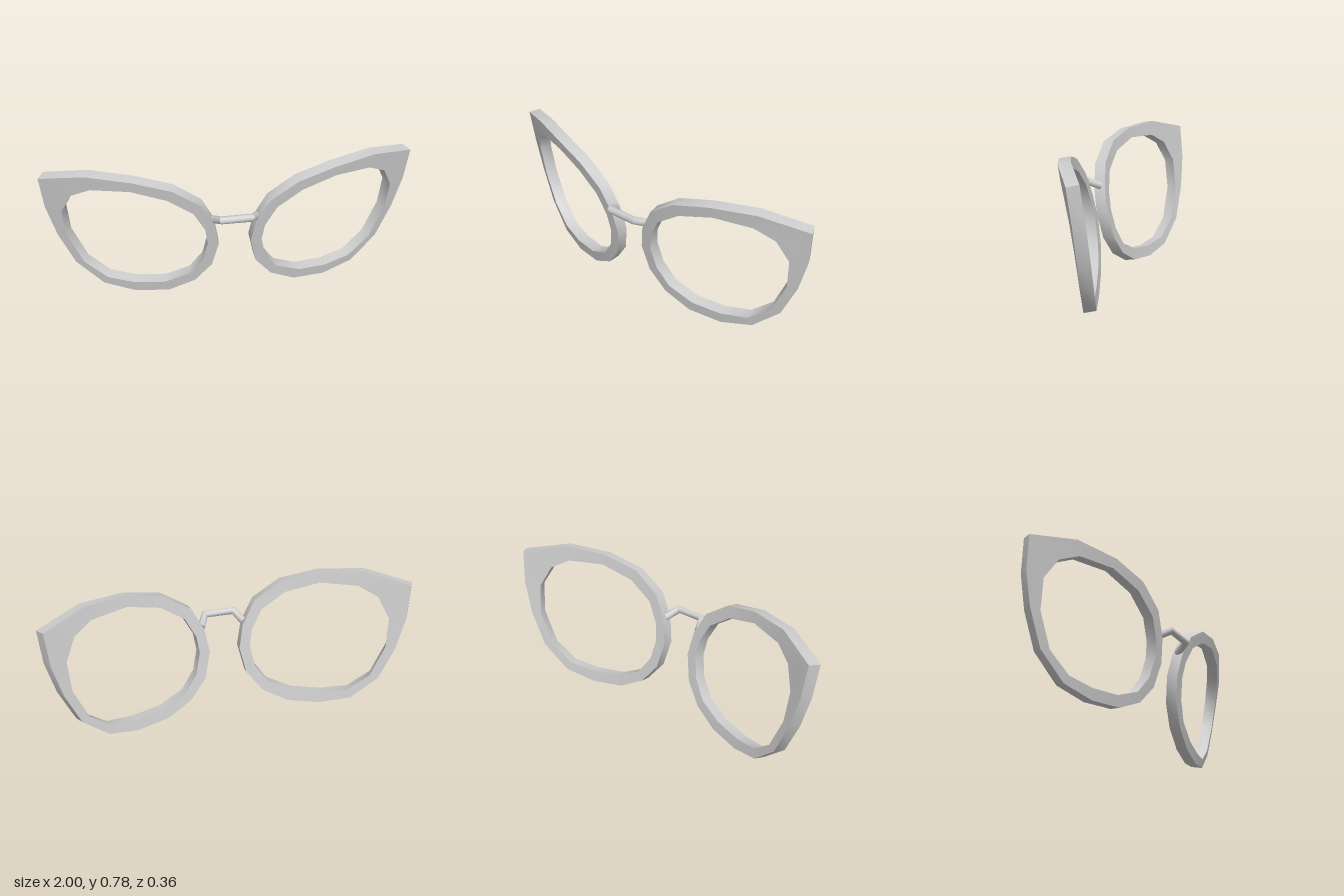
import * as THREE from 'three';
import { toCreasedNormals } from 'three/addons/utils/BufferGeometryUtils.js';

const V = (x, y, z) => new THREE.Vector3(x, y, z);

// Upswept rim outline: outer x, y then inner x, y
const OUTLINE = [
  [0.086, 0.35, 0.145, 0.355], [0.11, 0.48, 0.16, 0.45], [0.18, 0.61, 0.22, 0.56],
  [0.33, 0.71, 0.353, 0.65], [0.53, 0.757, 0.54, 0.70], [0.765, 0.77, 0.74, 0.69],
  [1.0, 0.714, 0.84, 0.635], [0.98, 0.53, 0.895, 0.52], [0.93, 0.355, 0.88, 0.355],
  [0.845, 0.17, 0.80, 0.18], [0.70, 0.04, 0.68, 0.085], [0.53, 0.003, 0.535, 0.064],
  [0.35, 0.02, 0.375, 0.078], [0.21, 0.093, 0.24, 0.14], [0.12, 0.205, 0.17, 0.24],
];
const THICKNESS = 0.063;

// Skin a series of equal closed cross-sections
function loft(rings, closed, crease) {
  const pos = [];
  const count = closed ? rings.length : rings.length - 1;
  for (let i = 0; i < count; i++) {
    const r = rings[i], s = rings[(i + 1) % rings.length];
    for (let j = 0; j < r.length; j++) {
      const k = (j + 1) % r.length;
      for (const p of [r[j], s[j], s[k], r[j], s[k], r[k]]) pos.push(p.x, p.y, p.z);
    }
  }
  const geo = new THREE.BufferGeometry();
  geo.setAttribute('position', new THREE.Float32BufferAttribute(pos, 3));
  return toCreasedNormals(geo, crease);
}

// Front and back points on the wrapped, tilted face of the frame
function facePair(x, y, side) {
  const front = V(x, y, 0.172 * y + 0.042 - 0.268 * x * x);
  const back = V(-0.536 * x, 0.172, -1).setLength(THICKNESS).add(front);
  front.x *= side;
  back.x *= side;
  return [front, back];
}

function rimGeometry(side) {
  const rings = OUTLINE.map(([ox, oy, ix, iy]) => {
    const [of, ob] = facePair(ox, oy, side);
    const [nf, nb] = facePair(ix, iy, side);
    return [of, ob, nb, nf];
  });
  if (side < 0) rings.reverse();
  return loft(rings, true, 0.7);
}

// Bent round bar with mitred corners and closed ends
function bridgeGeometry() {
  const path = [V(-0.118, 0.497, 0.085), V(-0.08, 0.53, 0.158), V(0.08, 0.53, 0.158), V(0.118, 0.497, 0.085)];
  const up = V(0, 0.073, -0.033).normalize();
  const ring = (i, radius) => {
    const before = path[i].clone().sub(path[Math.max(i - 1, 0)]).normalize();
    const after = path[Math.min(i + 1, 3)].clone().sub(path[i]).normalize();
    const tangent = before.add(after).normalize();
    const across = up.clone().cross(tangent);
    return Array.from({ length: 10 }, (_, k) => {
      const a = (k / 10) * Math.PI * 2;
      return path[i].clone()
        .addScaledVector(up, Math.cos(a) * radius)
        .addScaledVector(across, Math.sin(a) * radius);
    });
  };
  const r = 0.021;
  return loft([ring(0, 0.0005), ring(0, r), ring(1, r), ring(2, r), ring(3, r), ring(3, 0.0005)], false, 0.8);
}

export function createModel() {
  const model = new THREE.Group();
  model.name = 'eyeglassFrame';
  const grey = new THREE.MeshStandardMaterial({ color: 0xcccccc });
  grey.name = 'frame grey';
  const add = (name, geo) => {
    const mesh = new THREE.Mesh(geo, grey);
    mesh.name = name;
    model.add(mesh);
  };

  add('leftRim', rimGeometry(1));
  add('rightRim', rimGeometry(-1));
  add('noseBridge', bridgeGeometry());
  return model;
}
